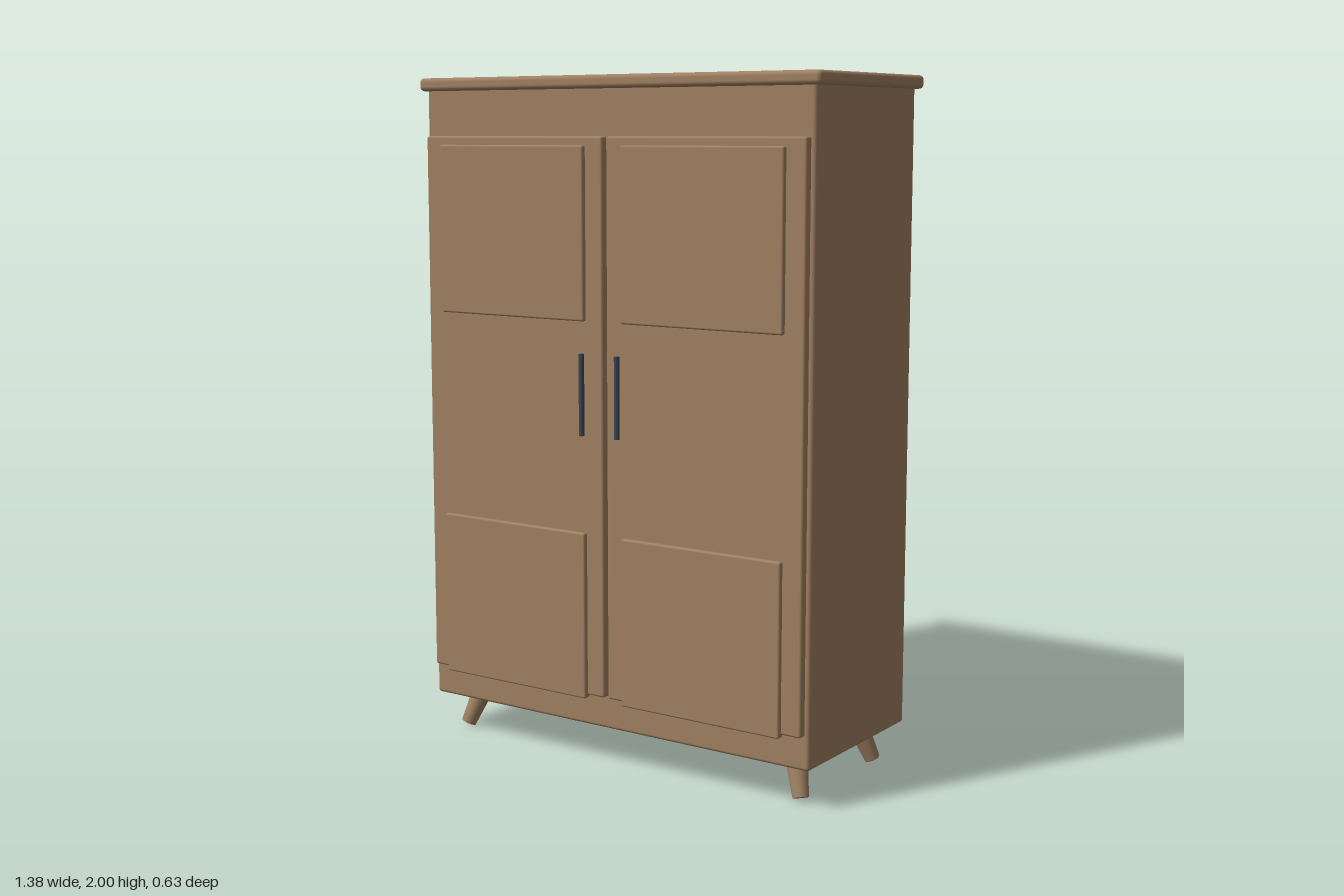
import * as THREE from 'three';
import { RoundedBoxGeometry } from 'three/addons/geometries/RoundedBoxGeometry.js';

export function createModel() {
  const model = new THREE.Group();
  model.name = 'wardrobe';
  const wood = new THREE.MeshStandardMaterial({ name: 'wood', color: 0x9f8061 });
  const metal = new THREE.MeshStandardMaterial({ name: 'darkMetal', color: 0x3a4453 });

  const add = (name, geometry, material, parent = model) => {
    const mesh = new THREE.Mesh(geometry, material);
    mesh.name = name;
    parent.add(mesh);
    return mesh;
  };

  // Rounded block given by its limits on each axis
  const block = (name, [x0, x1], [y0, y1], [z0, z1], radius, parent) => {
    const geometry = new RoundedBoxGeometry(x1 - x0, y1 - y0, z1 - z0, 3, radius);
    geometry.translate((x0 + x1) / 2, (y0 + y1) / 2, (z0 + z1) / 2);
    return add(name, geometry, wood, parent);
  };

  // Cabinet and overhanging top
  block('cabinet', [-0.668, 0.668], [0.115, 1.975], [-0.295, 0.259], 0.01);
  block('topBoard', [-0.688, 0.688], [1.962, 2], [-0.314, 0.275], 0.013);

  for (const side of [-1, 1]) {
    const label = side > 0 ? 'left' : 'right';
    const span = (a, b) => (side > 0 ? [a, b] : [-b, -a]);

    // Door with two raised panels
    const door = new THREE.Group();
    door.name = `${label}Door`;
    model.add(door);
    block('doorBoard', span(0.007, 0.654), [0.213, 1.83], [0.25, 0.282], 0.007, door);
    block('upperPanel', span(0.065, 0.593), [1.31, 1.805], [0.27, 0.296], 0.006, door);
    block('lowerPanel', span(0.065, 0.593), [0.204, 0.697], [0.27, 0.296], 0.006, door);

    // Upright bar handle
    const handle = add('handle', new THREE.CylinderGeometry(0.008, 0.008, 0.235, 20), metal, door);
    handle.position.set(side * 0.062, 1.102, 0.308);

    // Tapered legs splayed outwards
    for (const [end, zTop, zFoot] of [['Front', 0.154, 0.189], ['Back', -0.19, -0.225]]) {
      const foot = new THREE.Vector3(side * 0.604, 0.01, zFoot);
      const top = new THREE.Vector3(side * 0.567, 0.125, zTop);
      const axis = top.clone().sub(foot);
      const leg = add(`${label}${end}Leg`,
        new THREE.CylinderGeometry(0.033, 0.023, axis.length(), 24), wood);
      leg.position.copy(foot).add(top).multiplyScalar(0.5);
      leg.quaternion.setFromUnitVectors(new THREE.Vector3(0, 1, 0), axis.normalize());
    }
  }
  return model;
}
